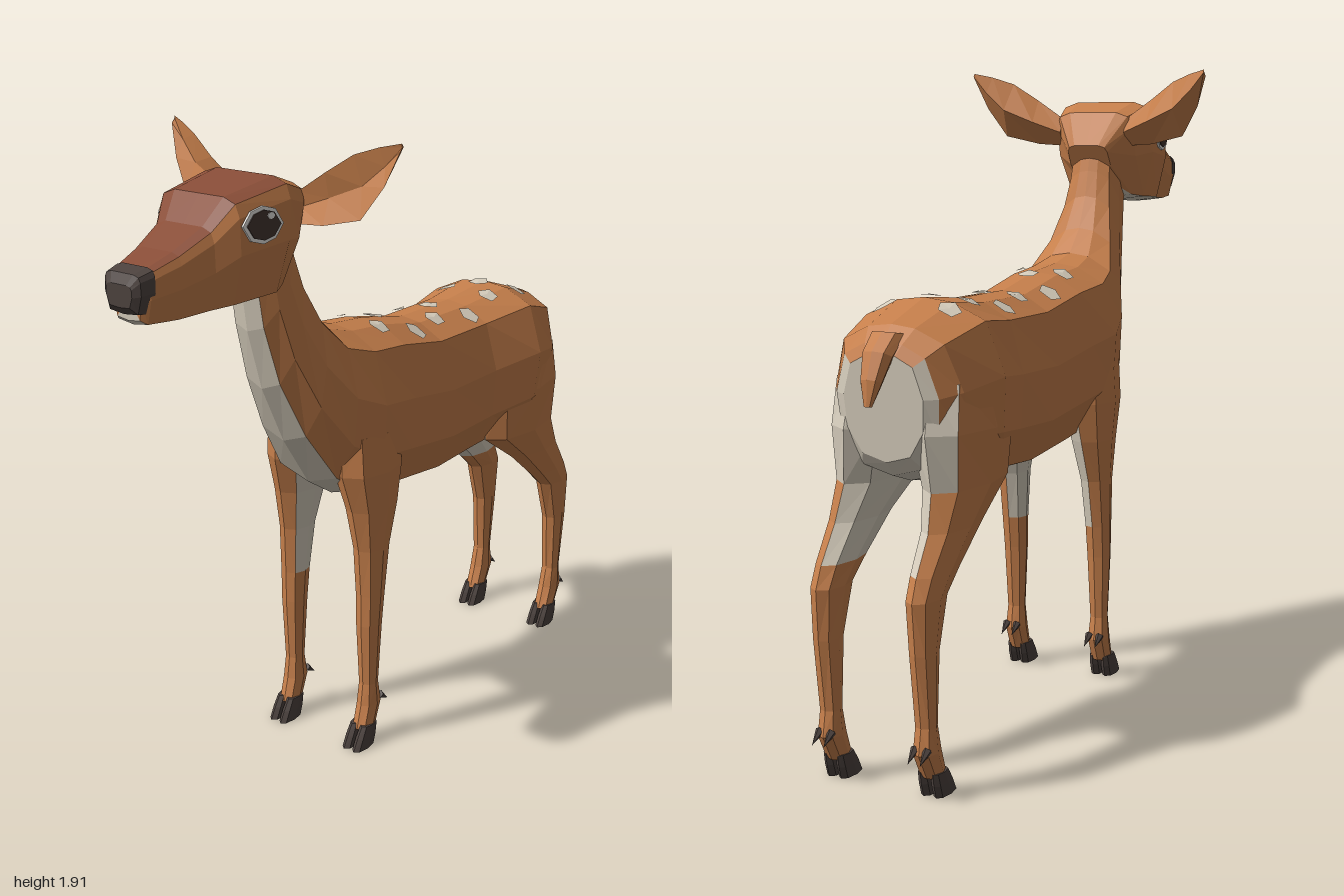
import * as THREE from 'three';

const mat = (name, color) => {
  const m = new THREE.MeshStandardMaterial({ color, flatShading: true });
  m.name = name;
  return m;
};

// Half outlines (x, s): s runs from the A end (1) to the B end (-1)
const BODY = [[0, 1], [0.36, 0.96], [0.78, 0.78], [1, 0.2], [0.95, -0.4], [0.6, -0.86], [0, -1]];
const HEAD = [[0, 1], [0.6, 1], [0.88, 0.9], [0.98, 0.66], [1, 0], [0.78, -0.9], [0, -1]];
const LIMB = [[0, 1], [0.7, 0.75], [1, 0], [0.7, -0.75], [0, -1]];

// Rump to neck: A (z, y) along the back, B (z, y) along the belly, half width
const BODY_ROWS = [
  [-0.885, 1.16, -0.86, 0.87, 0.12], [-0.87, 1.19, -0.83, 0.83, 0.155],
  [-0.83, 1.23, -0.74, 0.8, 0.195], [-0.66, 1.285, -0.62, 0.78, 0.237],
  [-0.45, 1.265, -0.45, 0.755, 0.192], [-0.2, 1.265, -0.25, 0.74, 0.187],
  [0, 1.305, 0, 0.765, 0.197], [0.15, 1.32, 0.16, 0.79, 0.205],
  [0.25, 1.345, 0.27, 0.86, 0.178], [0.32, 1.42, 0.38, 1.02, 0.135],
  [0.365, 1.52, 0.47, 1.2, 0.102], [0.385, 1.6, 0.525, 1.38, 0.086],
  [0.41, 1.72, 0.55, 1.54, 0.08],
];

// Closed ring between A and B, symmetric about x = xc
function section([za, ya, zb, yb, w, xc = 0], profile) {
  const at = (x, s) => new THREE.Vector3(
    xc + x * w, (ya + yb) / 2 + s * (ya - yb) / 2, (za + zb) / 2 + s * (za - zb) / 2);
  const back = profile.slice(1, -1).reverse();
  return [...profile.map(([x, s]) => at(x, s)), ...back.map(([x, s]) => at(-x, s))];
}

// Skin over rings with end caps; paint(span, strip, side) picks a material index
function loft(rings, paint = () => 0) {
  const n = rings[0].length, last = rings.length - 1, buckets = [];
  const tri = (m, ...pts) => pts.forEach(p => (buckets[m] ??= []).push(p.x, p.y, p.z));
  const mid = ring => ring.reduce((c, p) => c.add(p), new THREE.Vector3()).divideScalar(n);
  const c0 = mid(rings[0]), c1 = mid(rings[last]);
  for (let j = 0; j < n; j++) {
    const k = (j + 1) % n, strip = Math.min(j, n - 1 - j), side = j < n / 2 ? 1 : -1;
    tri(paint(-1, strip, side), c0, rings[0][j], rings[0][k]);
    for (let i = 0; i < last; i++) {
      const a = rings[i], b = rings[i + 1], m = paint(i, strip, side);
      tri(m, a[j], b[j], a[k]);
      tri(m, b[j], b[k], a[k]);
    }
    tri(paint(last, strip, side), c1, rings[last][k], rings[last][j]);
  }
  const geo = new THREE.BufferGeometry();
  let start = 0;
  buckets.forEach((b, m) => {
    geo.addGroup(start, b.length / 3, m);
    start += b.length / 3;
  });
  geo.setAttribute('position', new THREE.Float32BufferAttribute(buckets.flat(), 3));
  geo.computeVertexNormals();
  return geo;
}
const skin = (rows, profile, paint) => loft(rows.map(r => section(r, profile)), paint);

// Mirrored copy across x = 0 with the corner order turned round
function mirrored(source) {
  const geo = source.index ? source.toNonIndexed() : source.clone();
  const p = geo.attributes.position;
  for (let i = 0; i < p.count; i += 3) {
    const v = [0, 2, 1].map(k => new THREE.Vector3().fromBufferAttribute(p, i + k));
    v.forEach((q, k) => p.setXYZ(i + k, -q.x, q.y, q.z));
  }
  geo.computeVertexNormals();
  return geo;
}

// Height of the back at (x, z)
function backHeight(x, z) {
  const i = Math.max(1, BODY_ROWS.findIndex(r => r[0] > z));
  const p = BODY_ROWS[i - 1], q = BODY_ROWS[i], t = (z - p[0]) / (q[0] - p[0]);
  const [top, bottom, w] = [1, 3, 4].map(c => p[c] + (q[c] - p[c]) * t);
  const u = Math.abs(x) / w, j = Math.max(1, BODY.findIndex(v => v[0] >= u));
  const [a, b] = [BODY[j - 1], BODY[j]];
  const s = a[1] + (b[1] - a[1]) * (u - a[0]) / (b[0] - a[0]);
  return (top + bottom) / 2 + s * (top - bottom) / 2;
}

export function createModel() {
  const model = new THREE.Group();
  model.name = 'fawn';
  const tan = mat('tan fur', 0xc67f4b), cream = mat('cream fur', 0xd6cdbc);
  const brown = mat('brown crown', 0x8a4e38), dark = mat('dark hoof and nose', 0x4c423e);
  const pupil = mat('eye dark', 0x44352f), white = mat('eye white', 0xf4f2ee);
  const coat = [tan, cream, brown];
  const add = (name, geo, material) => {
    const mesh = new THREE.Mesh(geo, material);
    mesh.name = name;
    model.add(mesh);
  };
  const addPair = (name, geo, material) => {
    add(name + 'Left', geo, material);
    add(name + 'Right', mirrored(geo), material);
  };

  // Body and neck with cream belly, chest and rump
  add('body', skin(BODY_ROWS, BODY, (i, k) =>
    (i === -1 || k === 5 || (i === 0 && k >= 2) ? 1 : 0)), coat);

  // Head with brown crown and cream jaw
  add('head', skin([
    [0.37, 1.68, 0.44, 1.56, 0.07], [0.42, 1.785, 0.5, 1.51, 0.135],
    [0.52, 1.82, 0.55, 1.5, 0.165], [0.7, 1.79, 0.7, 1.495, 0.142],
    [0.76, 1.72, 0.76, 1.492, 0.107], [0.86, 1.672, 0.86, 1.49, 0.086],
    [0.955, 1.64, 0.955, 1.497, 0.067], [0.975, 1.62, 0.97, 1.51, 0.05],
  ], HEAD, (i, k) => (k === 5 ? 1 : i >= 2 && i < 7 && k <= 1 ? 2 : 0)), coat);
  add('nose', skin([
    [0.94, 1.647, 0.945, 1.525, 0.071], [0.985, 1.636, 0.985, 1.53, 0.063],
    [1, 1.61, 1, 1.55, 0.045],
  ], HEAD), dark);

  // Eyes: thin almond plates laid on the cheeks
  const eye = (rx, ry, depth, dx, dz = 0, dy = 0) => {
    const outline = [[1, -0.1], [0.6, 0.75], [0, 1], [-0.6, 0.8], [-1, 0.1], [-0.6, -0.75], [0, -1], [0.6, -0.8]];
    const shape = new THREE.Shape(outline.map(([x, y]) => new THREE.Vector2(x * rx, y * ry)));
    return new THREE.ExtrudeGeometry(shape, { depth, bevelEnabled: false })
      .rotateY(Math.PI / 2 - 0.135).translate(0.152 + dx, 1.715 + dy, 0.63 + dz);
  };
  addPair('eyeRim', eye(0.07, 0.05, 0.007, 0), white);
  addPair('eye', eye(0.058, 0.04, 0.004, 0.006), pupil);
  addPair('eyeGlint', eye(0.013, 0.009, 0.002, 0.0125, -0.022, 0.022), white);

  // Cupped ears: upper edge, lower edge and depth at stations toward the tip
  const ear = [
    [0.11, 1.765, 0.115, 1.68, 0.435, 0.025], [0.2, 1.825, 0.2, 1.685, 0.43, 0.045],
    [0.28, 1.878, 0.31, 1.71, 0.41, 0.045], [0.345, 1.9, 0.368, 1.8, 0.385, 0.025],
    [0.4, 1.912, 0.402, 1.893, 0.362, 0.006],
  ].map(([xt, yt, xb, yb, z, d]) => {
    const point = dz => new THREE.Vector3((xt + xb) / 2, (yt + yb) / 2, z + dz);
    return [new THREE.Vector3(xt, yt, z), point(-d), new THREE.Vector3(xb, yb, z + 0.01), point(-d * 0.35)];
  });
  addPair('ear', loft(ear), tan);

  // Legs: rows of y, front z, back z, half width, centre x
  const row = ([y, zf, zb, w, xc]) => [zf, y, zb, y, w, xc];
  const front = [
    [1.02, 0.27, 0.02, 0.075, 0.125], [0.9, 0.27, 0.02, 0.08, 0.128], [0.78, 0.235, 0.045, 0.062, 0.138],
    [0.65, 0.212, 0.085, 0.046, 0.144], [0.5, 0.205, 0.11, 0.04, 0.147], [0.4, 0.205, 0.122, 0.037, 0.147],
    [0.2, 0.195, 0.137, 0.029, 0.147], [0.13, 0.205, 0.125, 0.034, 0.147], [0.055, 0.225, 0.155, 0.033, 0.147],
  ];
  const hind = [
    [1.08, -0.55, -0.84, 0.095, 0.12], [0.95, -0.47, -0.875, 0.1, 0.123], [0.8, -0.49, -0.862, 0.076, 0.133],
    [0.7, -0.64, -0.895, 0.056, 0.142], [0.6, -0.765, -0.96, 0.046, 0.144], [0.54, -0.835, -0.985, 0.042, 0.145],
    [0.4, -0.88, -0.975, 0.035, 0.147], [0.2, -0.892, -0.95, 0.03, 0.147], [0.13, -0.875, -0.963, 0.034, 0.147],
    [0.055, -0.85, -0.922, 0.033, 0.147],
  ];
  addPair('frontLeg', skin(front.map(row), LIMB, (i, k, side) => (side < 0 && k >= 1 && i < 4 ? 1 : 0)), coat);
  addPair('hindLeg', skin(hind.map(row), LIMB, (i, k, side) =>
    ((side < 0 && i < 4) || (k === 3 && i < 2) ? 1 : 0)), coat);

  // Cloven hooves and dewclaws
  for (const [name, z] of [['front', 0.17], ['hind', -0.91]]) {
    for (const toe of [-1, 1]) {
      const xc = 0.147 + toe * 0.019, label = toe > 0 ? 'Outer' : 'Inner';
      addPair(name + 'Hoof' + label, skin([
        [0.07, z + 0.055, z - 0.014, 0.017, xc], [0.035, z + 0.078, z - 0.008, 0.02, xc],
        [0, z + 0.097, z + 0.002, 0.02, xc],
      ].map(row), LIMB), dark);
      const claw = new THREE.ConeGeometry(0.013, 0.05, 5).rotateX(-2.2)
        .translate(0.147 + toe * 0.018, 0.13, z - 0.058);
      addPair(name + 'Dewclaw' + label, claw, dark);
    }
  }

  // Tail hanging over the rump
  add('tail', skin([
    [-0.8, 1.2, -0.875, 1.215, 0.05], [-0.87, 1.14, -0.925, 1.17, 0.045],
    [-0.91, 1.08, -0.95, 1.1, 0.032], [-0.937, 1.03, -0.955, 1.03, 0.012],
  ], LIMB), tan);

  // Spots draped over the back
  const spots = [[0.1, -0.7], [0.08, -0.56], [0.11, -0.41], [0.075, -0.265], [0.11, -0.12], [0.08, 0.03],
    [0, -0.63], [0, -0.34], [0, -0.045]];
  for (const [sx, sz] of spots) {
    const geo = new THREE.CircleGeometry(0.034, 5, sx * 9).rotateX(-Math.PI / 2).translate(sx, 0, sz);
    const p = geo.attributes.position;
    for (let i = 0; i < p.count; i++) p.setY(i, backHeight(p.getX(i), p.getZ(i)) + 0.009);
    geo.computeVertexNormals();
    if (sx) addPair('spot', geo, cream);
    else add('spotMiddle', geo, cream);
  }
  return model;
}
